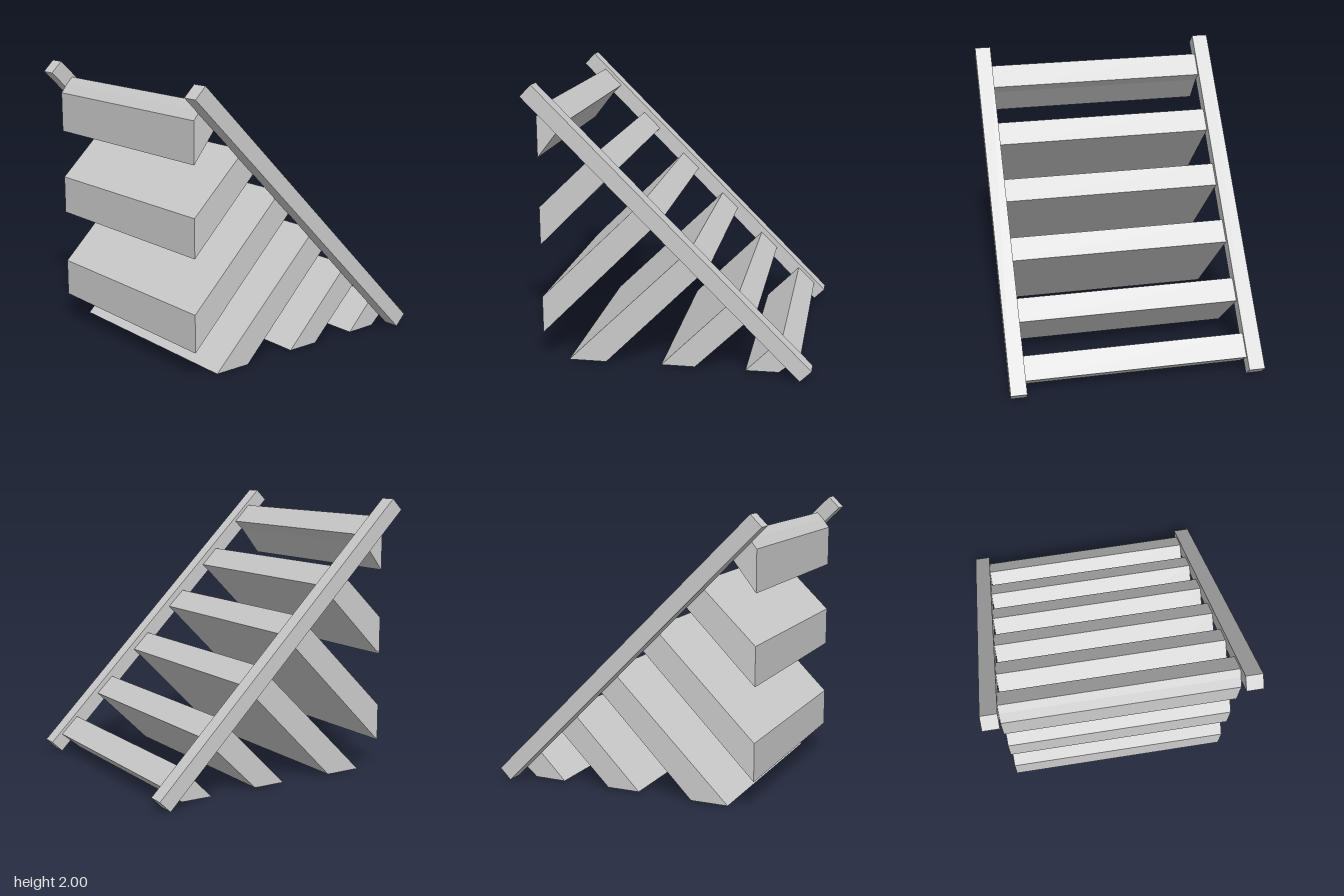
import * as THREE from 'three';

const material = new THREE.MeshStandardMaterial({ color: 0xcccccc, flatShading: true });

// Extrudes a side profile, given as [z, y] corners, from x0 to x1.
function prism(name, profile, x0, x1) {
  const shape = new THREE.Shape(profile.map(([z, y]) => new THREE.Vector2(-z, y)));
  const geometry = new THREE.ExtrudeGeometry(shape, { depth: x1 - x0, bevelEnabled: false });
  geometry.rotateY(Math.PI / 2);
  geometry.translate(x0, 0, 0);
  const mesh = new THREE.Mesh(geometry, material);
  mesh.name = name;
  return mesh;
}

export function createModel() {
  const group = new THREE.Group();
  group.name = 'slattedFrame';
  const inner = 0.808, outer = 0.925;

  // Two sloping side rails
  const rail = [[1, 1.92], [0.92, 2], [-1, 0.08], [-0.92, 0]];
  group.add(prism('leftRail', rail, inner, outer));
  group.add(prism('rightRail', rail, -outer, -inner));

  // Deep slats set between the rails, cut off at the front plane or the ground
  const slats = [
    [[0.83, 1.877], [0.875, 1.83], [0.925, 1.767], [0.925, 1.479], [0.767, 1.682], [0.702, 1.747]],
    [[0.509, 1.529], [0.925, 1.127], [0.925, 0.853], [0.382, 1.4]],
    [[0.186, 1.2], [0.925, 0.468], [0.925, 0.2], [0.058, 1.076]],
    [[-0.143, 0.876], [0.74, 0.005], [0.468, 0.005], [-0.27, 0.751]],
    [[-0.472, 0.552], [0.067, 0.01], [-0.174, 0.01], [-0.6, 0.428]],
    [[-0.785, 0.262], [-0.532, 0.008], [-0.767, 0.01], [-0.915, 0.135]],
  ];
  slats.forEach((profile, i) => group.add(prism(`slat${i + 1}`, profile, -inner, inner)));

  return group;
}
